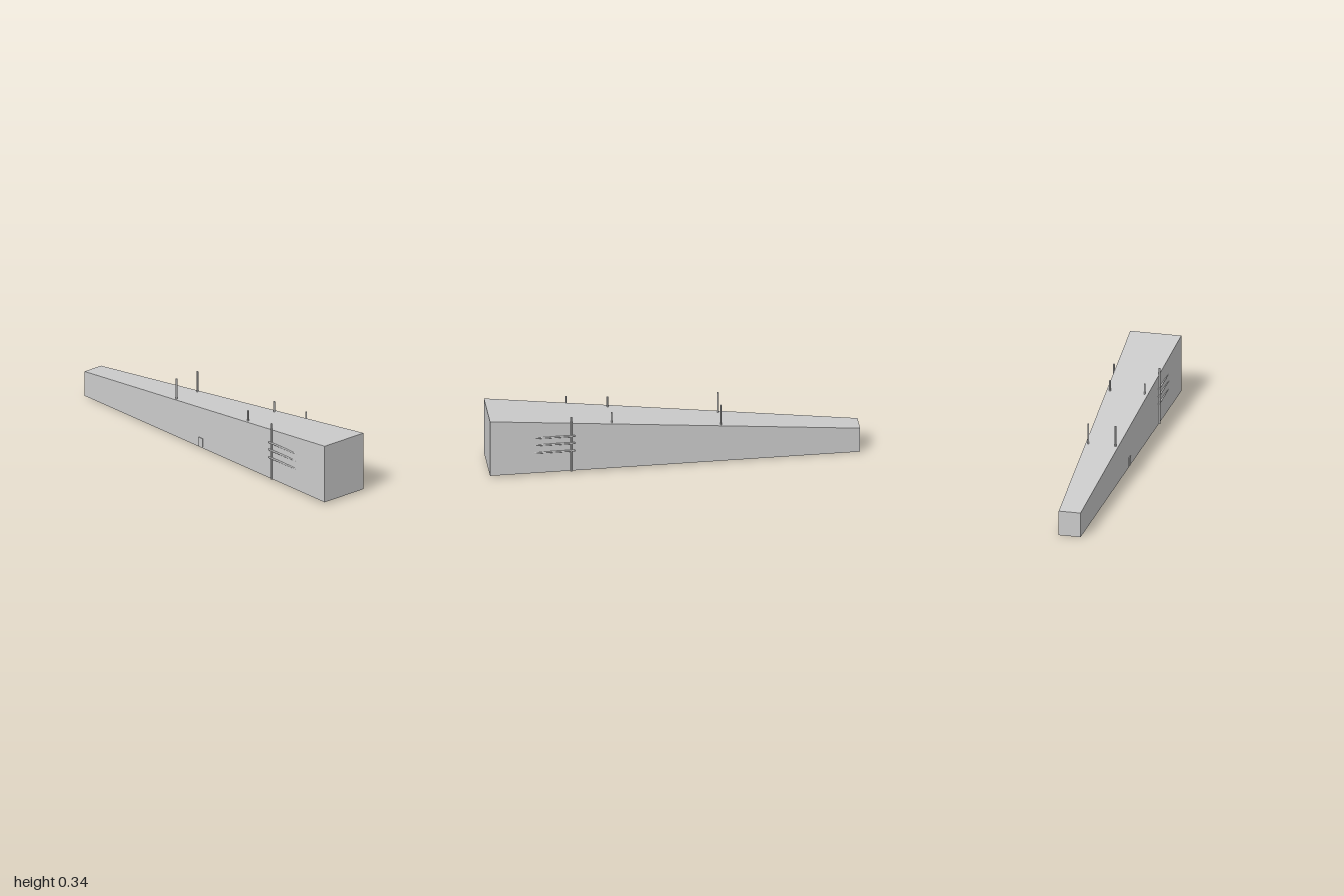
import * as THREE from 'three';

const grey = new THREE.MeshStandardMaterial({ color: 0xcccccc });

function addMesh(parent, name, geometry, x = 0, y = 0, z = 0) {
  const mesh = new THREE.Mesh(geometry, grey);
  mesh.name = name;
  mesh.position.set(x, y, z);
  parent.add(mesh);
  return mesh;
}

// Box whose cross-section tapers from the tall front to the small back
function taperedBody() {
  const geometry = new THREE.BoxGeometry(2, 2, 2);
  const p = geometry.attributes.position;
  for (let i = 0; i < p.count; i++) {
    const front = p.getZ(i) > 0;
    const [halfWidth, bottom, top] = front ? [0.14, 0.013, 0.336] : [0.06, 0, 0.14];
    p.setX(i, p.getX(i) * halfWidth);
    p.setY(i, p.getY(i) > 0 ? top : bottom);
  }
  geometry.computeVertexNormals();
  return geometry;
}

export function createModel() {
  const model = new THREE.Group();
  model.name = 'taperedBeam';
  addMesh(model, 'body', taperedBody());

  const radius = 0.005, postBottom = 0.008, postTop = 0.33;
  const postHeight = postTop - postBottom;
  const postGeometry = new THREE.CylinderGeometry(radius, radius, postHeight, 12);
  const rodGeometry = new THREE.CylinderGeometry(radius, radius, 0.3, 12).rotateX(Math.PI / 2);

  for (const side of [1, -1]) {
    const name = side > 0 ? 'left' : 'right';

    // Upright posts running through the body, level at the top
    for (const [x, z] of [[0.122, 0.97], [0.125, 0.56], [0.095, 0.34], [0.075, -0.25]]) {
      addMesh(model, name + 'Post', postGeometry, side * x, (postBottom + postTop) / 2, z);
    }

    // Three level rods that sink into the flaring side
    for (const y of [0.13, 0.175, 0.217]) {
      addMesh(model, name + 'Rod', rodGeometry, side * 0.126, y, 0.69);
    }
  }

  // Small latch on the right side
  addMesh(model, 'latch', new THREE.BoxGeometry(0.01, 0.05, 0.03), -0.098, 0.037, -0.03);

  return model;
}
